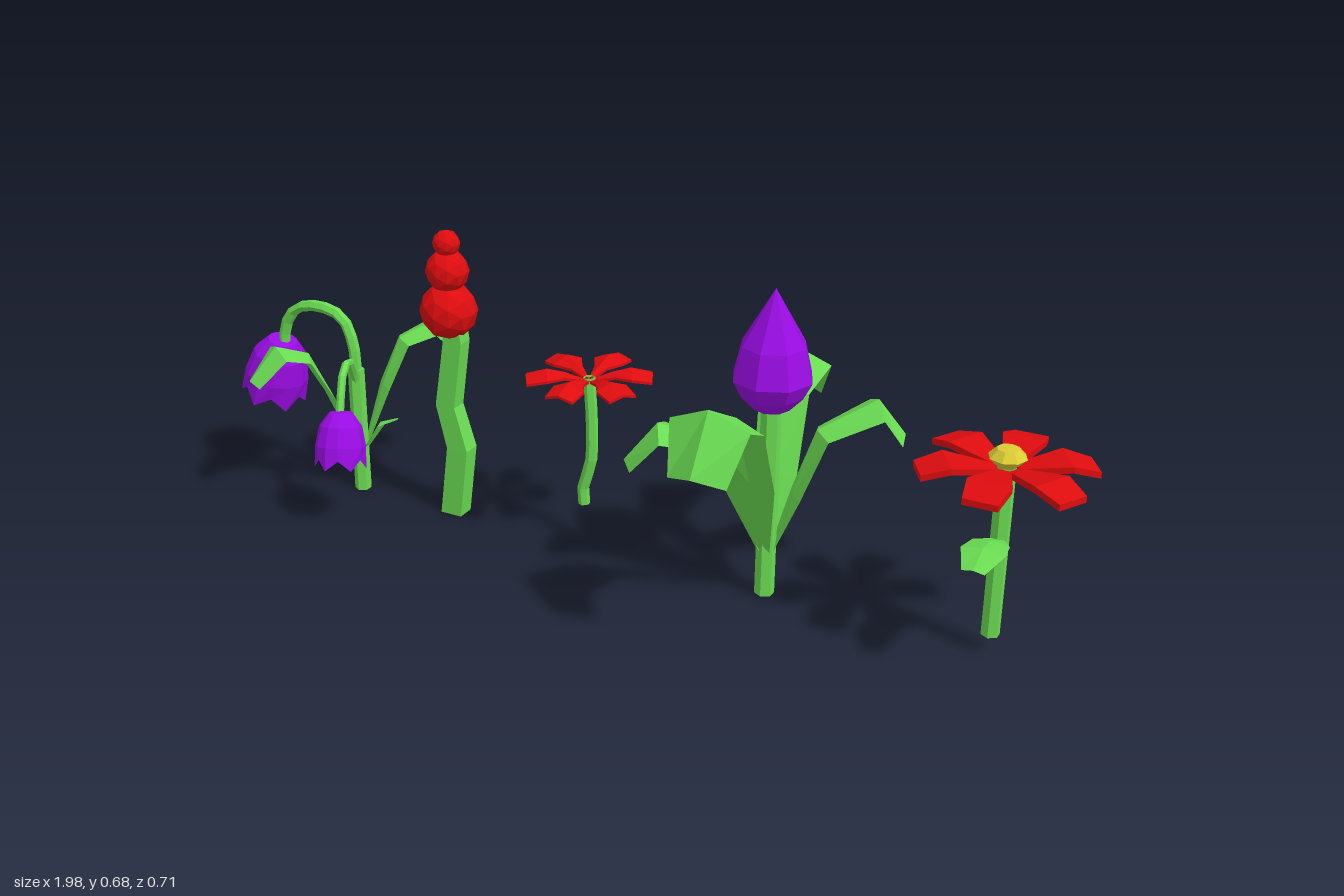
import * as THREE from 'three';

const mat = (color) => new THREE.MeshStandardMaterial({ color, flatShading: true, side: THREE.DoubleSide });
const GREEN = mat(0x6adc52), RED = mat(0xde0c0e), PURPLE = mat(0x9a0ce4), YELLOW = mat(0xdccc34);
const V = (x, y, z) => new THREE.Vector3(x, y, z);

function add(parent, name, geometry, material, x = 0, y = 0, z = 0) {
  const mesh = new THREE.Mesh(geometry, material);
  mesh.name = name;
  mesh.position.set(x, y, z);
  parent.add(mesh);
  return mesh;
}

function plant(root, name, x, z) {
  const g = new THREE.Group();
  g.name = name;
  g.position.set(x, 0, z);
  root.add(g);
  return g;
}

// Skin between cross-sections that have equal point counts
function loft(sections) {
  const n = sections[0].length, index = [];
  for (let i = 0; i < sections.length - 1; i++)
    for (let j = 0; j < n - 1; j++) {
      const a = i * n + j, b = a + n;
      index.push(a, a + 1, b, a + 1, b + 1, b);
    }
  const geo = new THREE.BufferGeometry();
  geo.setAttribute('position', new THREE.Float32BufferAttribute(sections.flat(2), 3));
  geo.setIndex(index);
  geo.computeVertexNormals();
  return geo;
}

// Ridged blade growing along +x. Rows: [reach, height, half width, ridge height]
function blade(rows, thickness = 0) {
  const sections = rows.map(([r, y, w, ridge], i) => {
    const p = rows[Math.max(i - 1, 0)], q = rows[Math.min(i + 1, rows.length - 1)];
    const len = Math.hypot(q[0] - p[0], q[1] - p[1]);
    const sx = r + ((q[1] - p[1]) / len) * ridge, sy = y - ((q[0] - p[0]) / len) * ridge;
    const top = [[sx, sy, w], [r, y, 0], [sx, sy, -w]];
    if (!thickness) return top;
    return [...top, [sx, sy - thickness, -w], [r, y - thickness, 0], [sx, sy - thickness, w], top[0]];
  });
  if (thickness) { // close both ends
    const cap = ([r, y]) => Array(7).fill([r, y - thickness / 2, 0]);
    sections.unshift(cap(rows[0]));
    sections.push(cap(rows[rows.length - 1]));
  }
  return loft(sections);
}

function leaf(parent, dx, dz, rows) {
  add(parent, 'leaf', blade(rows), GREEN).rotation.y = -Math.atan2(dz, dx);
}

function petals(parent, rows, thickness) {
  const geo = blade(rows, thickness);
  for (let i = 0; i < 6; i++) add(parent, 'petal', geo, RED).rotation.y = Math.PI / 2 + (i * Math.PI) / 3;
}

function straightStem(parent, r, y0, y1) {
  add(parent, 'stem', new THREE.CylinderGeometry(r, r, y1 - y0, 6), GREEN, 0, (y0 + y1) / 2, 0);
}

// Curved stem of constant radius
function bentStem(parent, name, points, r) {
  const path = new THREE.CatmullRomCurve3(points, false, 'centripetal');
  add(parent, name, new THREE.TubeGeometry(path, (points.length - 1) * 2, r, 6), GREEN);
}

// Hanging bell with a pointed rim, from its top towards its mouth
function bell(parent, top, mouth, R) {
  const L = top.distanceTo(mouth);
  const profile = [[0, 0], [0.45, 0.02], [0.82, 0.25], [0.98, 0.6], [1, 1]]
    .map(([r, t]) => new THREE.Vector2(r * R, -t * L));
  const geo = new THREE.LatheGeometry(profile, 12);
  const p = geo.attributes.position;
  for (let i = 1; i <= 12; i += 2) { // notches between petals
    const k = i * profile.length + profile.length - 1;
    p.setXYZ(k, p.getX(k) * 0.93, -L * 0.82, p.getZ(k) * 0.93);
  }
  const mesh = add(parent, 'bell', geo, PURPLE, top.x, top.y, top.z);
  mesh.quaternion.setFromUnitVectors(V(0, -1, 0), mouth.clone().sub(top).normalize());
}

export function createModel() {
  const root = new THREE.Group();
  root.name = 'flowers';

  // Bellflower with two hanging bells
  const bells = plant(root, 'bellflower', -0.677, -0.05);
  straightStem(bells, 0.019, 0, 0.3);
  bentStem(bells, 'archedStem', [V(0, 0.28, 0), V(-0.004, 0.36, 0), V(-0.03, 0.418, 0), V(-0.09, 0.435, 0),
    V(-0.155, 0.42, 0), V(-0.19, 0.375, 0), V(-0.2, 0.32, 0)], 0.013);
  bentStem(bells, 'sideStem', [V(0, 0.26, 0), V(0.02, 0.34, 0.05), V(0.045, 0.335, 0.11), V(0.062, 0.255, 0.153)], 0.009);
  bell(bells, V(-0.203, 0.337, 0), V(-0.245, 0.187, 0), 0.075);
  bell(bells, V(0.066, 0.267, 0.153), V(0.078, 0.145, 0.184), 0.057);
  leaf(bells, 0.15, -0.18, [[0.01, 0.1, 0.01, 0], [0.06, 0.25, 0.035, 0.006], [0.105, 0.36, 0.038, 0.014],
    [0.185, 0.39, 0.05, 0.02], [0.24, 0.32, 0.03, 0.014]]);
  leaf(bells, -0.13, 0.205, [[0.01, 0.1, 0.01, 0], [0.06, 0.25, 0.036, 0.006], [0.11, 0.36, 0.042, 0.014],
    [0.185, 0.39, 0.052, 0.02], [0.25, 0.32, 0.032, 0.015]]);
  leaf(bells, 1, 0, [[0.005, 0.09, 0.01, 0], [0.06, 0.18, 0.022, 0.006], [0.11, 0.2, 0.006, 0.003]]);

  // Spike of three stacked balls on a crooked, four-sided stem
  const spike = plant(root, 'ballSpike', -0.417, -0.048);
  const joints = [[-0.002, 0, 0.026], [0.02, 0.165, 0.026], [-0.008, 0.265, 0.024], [0.016, 0.42, 0.023], [0.01, 0.47, 0.022]];
  add(spike, 'crookedStem', loft(joints.map(([x, y, r]) =>
    [[1, 1], [1, -1], [-1, -1], [-1, 1], [1, 1]].map(([a, b]) => [x + a * r, y, b * r * 0.8]))), GREEN);
  for (const [y, r] of [[0.488, 0.064], [0.578, 0.048], [0.64, 0.03]])
    add(spike, 'ball', new THREE.IcosahedronGeometry(r, 1), RED, 0, y, 0);

  // Small open flower with a curved stem
  const small = plant(root, 'smallFlower', -0.08, -0.065);
  bentStem(small, 'curvedStem', [V(-0.014, 0.088, 0), V(-0.016, 0.13, 0), V(0.003, 0.19, 0), V(0.006, 0.28, 0), V(0, 0.39, 0)], 0.013);
  petals(small, [[0.01, 0.385, 0.005, 0], [0.05, 0.402, 0.015, 0.008], [0.09, 0.41, 0.036, 0.014], [0.135, 0.398, 0.032, 0.01]], 0.006);

  // Closed bud with four large bent leaves
  const bud = plant(root, 'buddingFlower', 0.355, -0.023);
  straightStem(bud, 0.021, 0.005, 0.43);
  const budProfile = [[0, 0.41], [0.038, 0.425], [0.066, 0.455], [0.084, 0.49], [0.067, 0.56], [0.031, 0.622], [0, 0.676]];
  add(bud, 'bud', new THREE.LatheGeometry(budProfile.map(([r, y]) => new THREE.Vector2(r, y)), 8), PURPLE);
  leaf(bud, 0, 1, [[0.01, 0.1, 0.012, 0], [0.1, 0.3, 0.058, 0.01], [0.173, 0.47, 0.066, 0.025],
    [0.303, 0.537, 0.082, 0.036], [0.377, 0.425, 0.06, 0.036]]);
  leaf(bud, -0.065, -0.332, [[0.01, 0.1, 0.012, 0], [0.06, 0.25, 0.045, 0.008], [0.115, 0.42, 0.052, 0.02],
    [0.262, 0.455, 0.075, 0.032], [0.34, 0.345, 0.045, 0.025]]);
  leaf(bud, 0.225, -0.16, [[0.01, 0.1, 0.012, 0], [0.05, 0.23, 0.036, 0.008], [0.095, 0.37, 0.042, 0.018],
    [0.22, 0.43, 0.058, 0.025], [0.28, 0.35, 0.038, 0.02]]);
  leaf(bud, -0.27, 0.105, [[0.01, 0.1, 0.012, 0], [0.06, 0.23, 0.036, 0.008], [0.124, 0.355, 0.044, 0.018],
    [0.227, 0.38, 0.06, 0.025], [0.295, 0.295, 0.038, 0.02]]);

  // Large open flower with a yellow centre
  const open = plant(root, 'openFlower', 0.834, -0.024);
  straightStem(open, 0.019, 0.038, 0.405);
  petals(open, [[0.02, 0.402, 0.014, 0], [0.115, 0.418, 0.043, 0], [0.17, 0.402, 0.034, 0]], 0.013);
  const centreProfile = [[0, 0.398], [0.016, 0.4], [0.038, 0.422], [0.022, 0.439], [0, 0.44]];
  add(open, 'flowerCentre', new THREE.LatheGeometry(centreProfile.map(([r, y]) => new THREE.Vector2(r, y)), 8), YELLOW);
  leaf(open, 0, 1, [[0.01, 0.252, 0.012, 0], [0.06, 0.274, 0.036, 0.006], [0.115, 0.283, 0.043, 0.008], [0.175, 0.264, 0.022, 0.005]]);

  return root;
}
